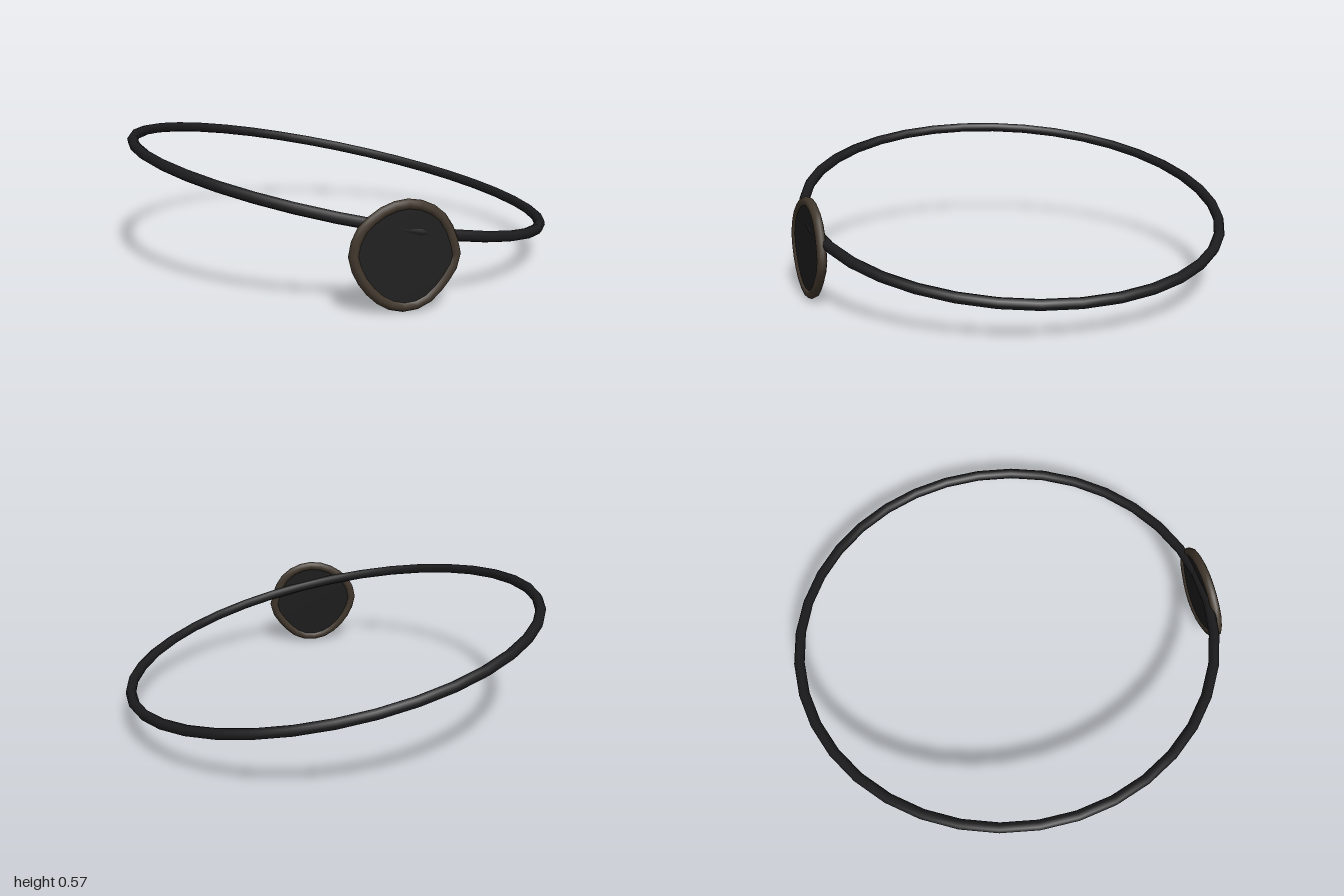
import * as THREE from 'three';

export function createModel() {
  const group = new THREE.Group();
  const strapMat = new THREE.MeshStandardMaterial({ name: 'black strap', color: 0x1c1c1e });
  const padMat = new THREE.MeshStandardMaterial({ name: 'black pad', color: 0x1b1b1b });
  const rimMat = new THREE.MeshStandardMaterial({ name: 'brown rim', color: 0x40362b });

  const add = (name, geometry, material, parent) => {
    const mesh = new THREE.Mesh(geometry, material);
    mesh.name = name;
    parent.add(mesh);
    return mesh;
  };

  // Tilted round strap
  const strapGeo = new THREE.TorusGeometry(0.956, 0.024, 8, 36).rotateX(Math.PI / 2);
  const strap = add('strap', strapGeo, strapMat, group);
  strap.position.set(0, 0.345, -0.022);
  strap.rotation.set(-0.041, 0, -0.205);

  // Patch, turned to follow the strap
  const patch = new THREE.Group();
  patch.name = 'patch';
  patch.position.set(0.266, 0.228, 0.907);
  patch.rotation.set(-0.04, 0.32, 0, 'YXZ');
  group.add(patch);

  // Slightly irregular outline, inset so the rim reaches the outer edge
  const outline = [
    [-0.235, 0.015], [-0.203, 0.113], [-0.149, 0.165], [-0.074, 0.207],
    [0.016, 0.222], [0.109, 0.197], [0.178, 0.14], [0.215, 0.061],
    [0.233, -0.03], [0.2, -0.092], [0.152, -0.154], [0.092, -0.204],
    [0.016, -0.227], [-0.079, -0.207], [-0.165, -0.137], [-0.213, -0.061],
  ].map(([x, y]) => new THREE.Vector2(x, y).multiplyScalar(0.905));

  // Rolled rim
  const path = new THREE.CatmullRomCurve3(outline.map((p) => new THREE.Vector3(p.x, p.y, 0)), true);
  add('rim', new THREE.TubeGeometry(path, 24, 0.022, 8, true), rimMat, patch);

  // Flat pad filling the rim
  const padGeo = new THREE.ExtrudeGeometry(new THREE.Shape(outline), { depth: 0.024, bevelEnabled: false });
  padGeo.translate(0, 0, -0.012);
  add('pad', padGeo, padMat, patch);

  return group;
}
